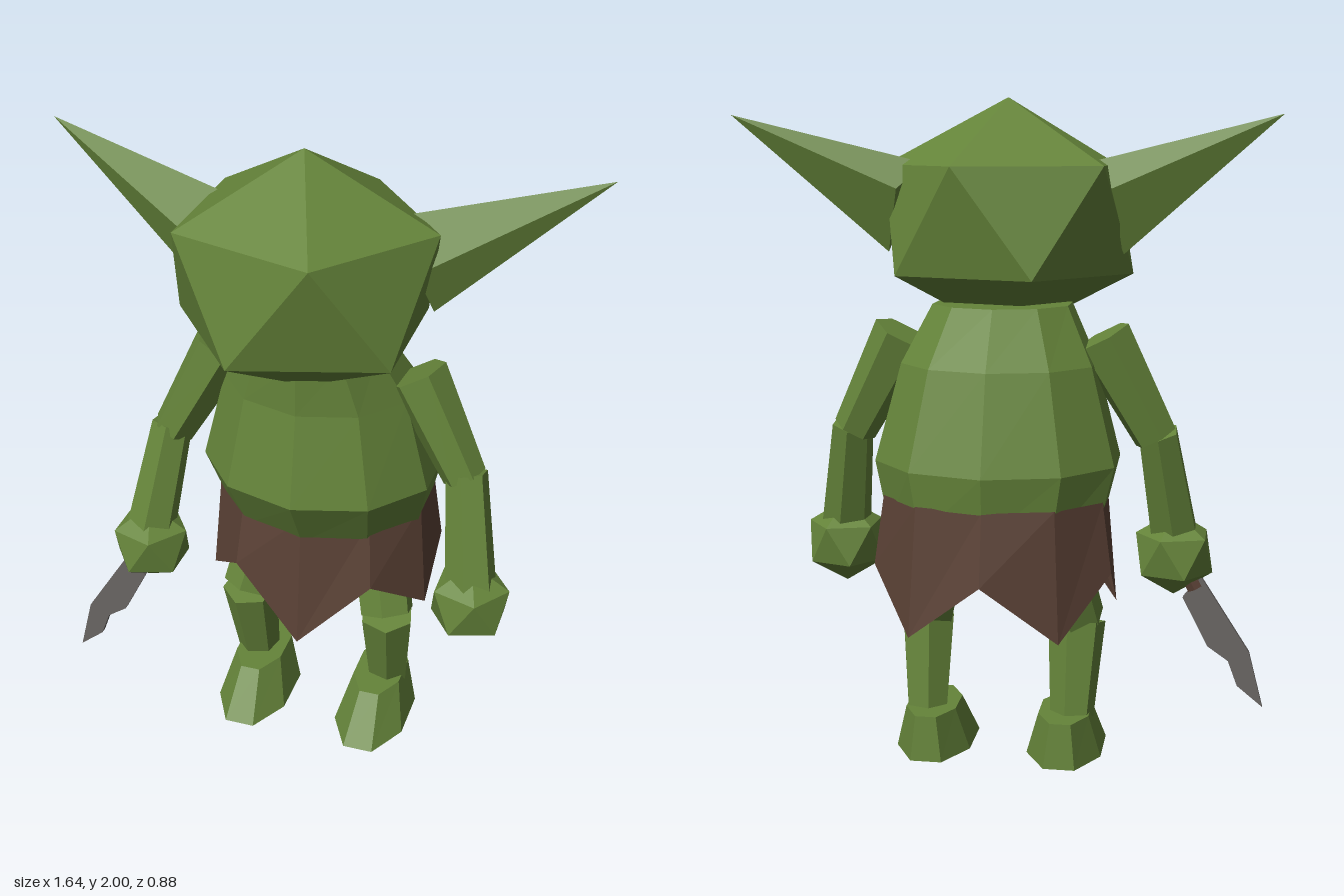
import * as THREE from 'three';
import { ConvexGeometry } from 'three/addons/geometries/ConvexGeometry.js';

const V = (x, y, z) => new THREE.Vector3(x, y, z);

export function createModel() {
  const model = new THREE.Group();
  const material = (name, color, side = THREE.FrontSide) =>
    Object.assign(new THREE.MeshStandardMaterial({ color, side, flatShading: true }), { name });
  const skin = material('greenSkin', 0x65843a);
  const cloth = material('brownCloth', 0x5a4135, THREE.DoubleSide);
  const steel = material('greySteel', 0x6a6664);

  const add = (name, geometry, mat, parent = model) => {
    const g = geometry.index ? geometry.toNonIndexed() : geometry;
    g.computeVertexNormals();
    const mesh = new THREE.Mesh(g, mat);
    mesh.name = name;
    parent.add(mesh);
  };

  // Stack of elliptical rings, top to bottom: [y, centreX, centreZ, radiusX, radiusZ]
  const loft = (rings, sides, open = false, turn = 0) => {
    const g = new THREE.CylinderGeometry(1, 1, 1, sides, rings.length - 1, open).rotateY(turn);
    const p = g.attributes.position;
    for (let i = 0; i < p.count; i++) {
      const [y, cx, cz, rx, rz] = rings[Math.round((0.5 - p.getY(i)) * (rings.length - 1))];
      p.setXYZ(i, cx + p.getX(i) * rx, y, cz + p.getZ(i) * rz);
    }
    return g;
  };

  // Tapered six-sided limb from a to b
  const limb = (a, b, ra, rb) => {
    const d = b.clone().sub(a);
    const g = new THREE.CylinderGeometry(rb, ra, d.length(), 6);
    g.applyQuaternion(new THREE.Quaternion().setFromUnitVectors(V(0, 1, 0), d.normalize()));
    const mid = a.clone().add(b).multiplyScalar(0.5);
    return g.translate(mid.x, mid.y, mid.z);
  };

  // Icosahedron standing on a vertex
  const ball = (rx, ry, rz, c) => new THREE.IcosahedronGeometry(1, 0)
    .rotateZ(-Math.atan(2 / (1 + Math.sqrt(5))))
    .scale(rx, ry, rz).translate(c.x, c.y, c.z);

  add('head', ball(0.43, 0.363, 0.392, V(0, 1.637, 0.105)), skin);

  // Hunched, pot-bellied body
  add('body', loft([
    [1.39, 0, 0, 0.215, 0.2],
    [1.22, 0, -0.06, 0.3, 0.26],
    [0.93, 0, -0.078, 0.377, 0.333],
    [0.74, 0, -0.12, 0.33, 0.265],
    [0.66, 0, -0.12, 0.27, 0.21],
  ], 10), skin);

  // Ragged skirt with alternating points and notches along the hem
  const skirt = loft([[0.83, 0, -0.12, 0.345, 0.276], [0.5, 0, -0.118, 0.375, 0.32]], 10, true);
  const hem = [0.395, 0.61, 0.48, 0.62, 0.445, 0.62];
  const sp = skirt.attributes.position;
  for (let i = 0; i < sp.count; i++) {
    if (sp.getY(i) > 0.6) continue;
    const angle = Math.atan2(sp.getX(i) / 0.375, (sp.getZ(i) + 0.118) / 0.32);
    sp.setY(i, hem[Math.abs(Math.round(angle / (Math.PI / 5)))]);
  }
  add('skirt', skirt, cloth);

  // Paired parts
  for (const [side, s] of [['left', 1], ['right', -1]]) {
    add(side + 'Ear', new ConvexGeometry([
      V(s * 0.82, 1.947, -0.05), V(s * 0.24, 1.805, 0.03), V(s * 0.36, 1.537, 0.04),
      V(s * 0.32, 1.67, 0.1), V(s * 0.32, 1.73, -0.03),
    ]), skin);

    const arm = new THREE.Group();
    arm.name = side + 'Arm';
    add('upperArm', limb(V(s * 0.303, 1.297, -0.025), V(s * 0.467, 0.99, 0.005), 0.092, 0.068), skin, arm);
    add('forearm', limb(V(s * 0.473, 1.005, 0.005), V(s * 0.525, 0.66, 0.1), 0.065, 0.08), skin, arm);
    add('hand', ball(0.134, 0.134, 0.134, V(s * 0.525, 0.608, 0.1)), skin, arm);

    const leg = new THREE.Group();
    leg.name = side + 'Leg';
    add('thigh', limb(V(s * 0.16, 0.74, -0.13), V(s * 0.235, 0.415, -0.015), 0.095, 0.088), skin, leg);
    add('shin', limb(V(s * 0.235, 0.41, -0.015), V(s * 0.228, 0.12, -0.075), 0.09, 0.068), skin, leg);
    add('foot', loft([
      [0.14, s * 0.207, -0.065, 0.084, 0.157],
      [0, s * 0.205, -0.01, 0.125, 0.229],
    ], 8, false, Math.PI / 8), skin, leg);
    model.add(arm, leg);
  }

  // Jagged knife in the right hand
  const knife = new THREE.Group();
  knife.name = 'knife';
  add('handle', limb(V(-0.54, 0.6, 0.1), V(-0.592, 0.495, 0.1), 0.026, 0.026), cloth, knife);
  const outline = [[-0.61, 0.535], [-0.765, 0.295], [-0.81, 0.12], [-0.73, 0.185],
    [-0.7, 0.265], [-0.635, 0.31], [-0.555, 0.465]];
  const blade = new THREE.Shape(outline.map(([x, y]) => new THREE.Vector2(x, y)));
  add('blade', new THREE.ExtrudeGeometry(blade, { depth: 0.02, bevelEnabled: false })
    .translate(0, 0, 0.09), steel, knife);
  model.add(knife);

  return model;
}
